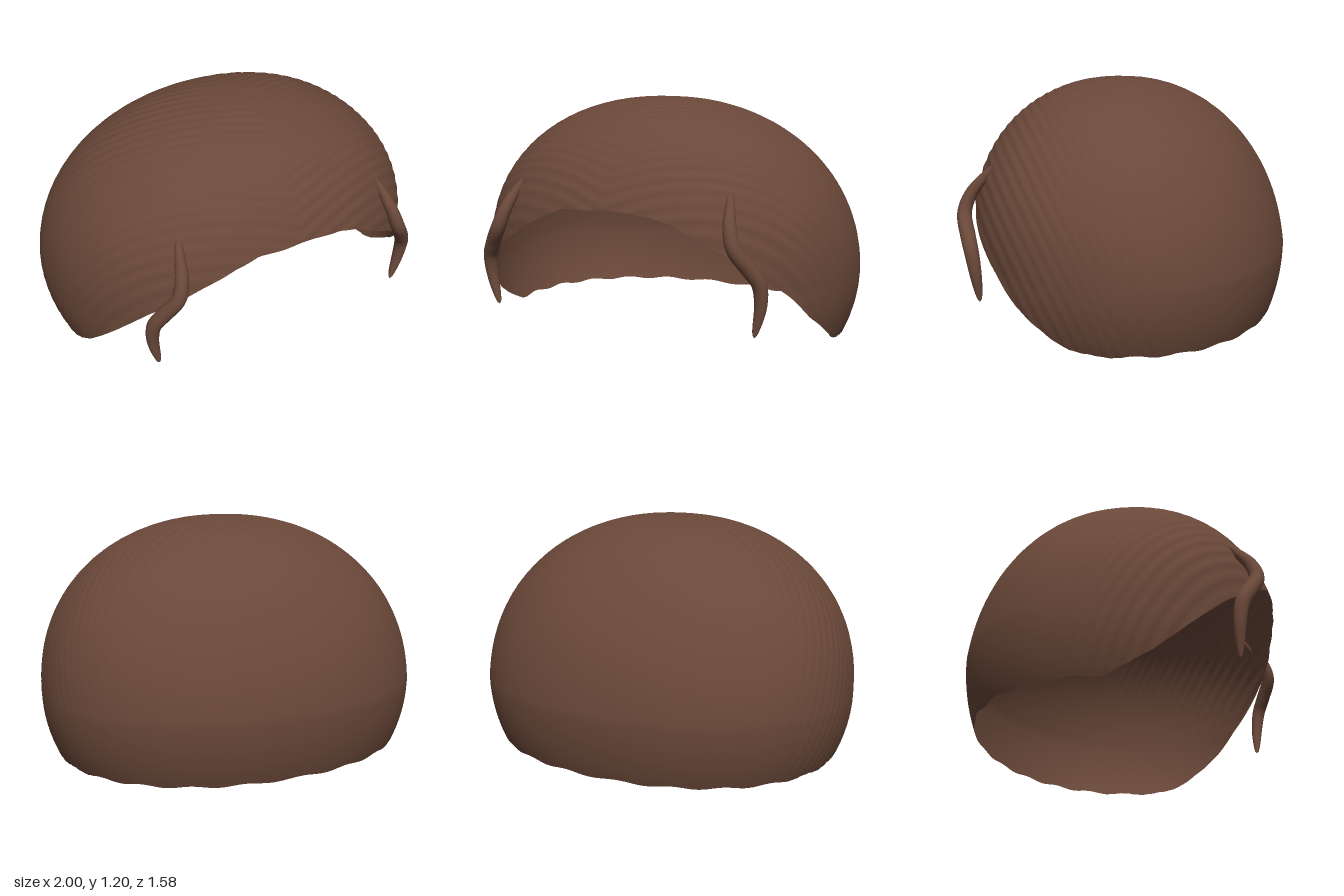
import * as THREE from 'three';

const hairBrown = new THREE.MeshStandardMaterial({ color: 0x6a4839, side: THREE.DoubleSide });
hairBrown.name = 'hair brown';

// Hairline height by azimuth: degrees above the side (0) towards the front (90)
const HAIRLINE = [[-90, 0.01], [2, 0.01], [6, 0.015], [12, 0.05], [20, 0.12], [28, 0.205], [36, 0.31], [45, 0.42], [53, 0.505], [60, 0.57], [70, 0.66], [77, 0.70], [90, 0.715]];

function rimHeight(a) {
  const deg = THREE.MathUtils.radToDeg(Math.asin(Math.sin(a)));
  let k = 1;
  while (k < HAIRLINE.length - 1 && HAIRLINE[k][0] < deg) k++;
  const [d0, y0] = HAIRLINE[k - 1], [d1, y1] = HAIRLINE[k];
  const wave = 0.006 * Math.sin(a * 22) * (deg < 10 ? 1 : 0.4);
  return THREE.MathUtils.lerp(y0, y1, (deg - d0) / (d1 - d0)) + wave;
}

const EQUATOR = 0.33, UPPER = 0.87, LOWER = 0.86;
const squarish = (v, p) => Math.sign(v) * Math.pow(Math.abs(v), 2 / p);

// Point on the skull-shaped shell: lat = latitude, a = azimuth
function shellPoint(lat, a) {
  const u = Math.sin(lat);
  const s = u > 0 ? Math.pow(Math.max(0, 1 - Math.pow(u, 2.13)), 1 / 2.13) : Math.cos(lat);
  const cx = squarish(Math.cos(a), 2.12), cz = squarish(Math.sin(a), 2.12);
  const p = new THREE.Vector3(
    s * cx,
    EQUATOR + u * (u > 0 ? UPPER : LOWER),
    0.1 * Math.max(u, 0) + (cz > 0 ? 0.83 : 0.78) * s * cz
  );
  // Fine combed strands, fading towards the back and the crown
  const fade = THREE.MathUtils.smoothstep(p.z, -0.7, 0.1) * THREE.MathUtils.smoothstep(s, 0.02, 0.3);
  const strand = Math.sin((p.z + 0.4 * Math.abs(p.x) - 0.5 * p.y) * 2 * Math.PI / 0.06);
  const out = new THREE.Vector3(s * Math.cos(a), u, s * Math.sin(a));
  return p.addScaledVector(out, 0.0018 * fade * strand);
}

// Open cap of hair: rows rise from the hairline to one point at the crown
function hairCap() {
  const cols = 320, rows = 110, pos = [], index = [];
  for (let j = 0; j < rows; j++) {
    for (let i = 0; i < cols; i++) {
      const a = (i / cols) * Math.PI * 2;
      const dy = rimHeight(a) - EQUATOR;
      const low = Math.asin(dy / (dy > 0 ? UPPER : LOWER));
      const lat = THREE.MathUtils.lerp(low, Math.PI / 2, j / rows);
      pos.push(...shellPoint(lat, a).toArray());
    }
  }
  const crown = pos.length / 3;
  pos.push(0, EQUATOR + UPPER, 0.1);
  for (let j = 0; j < rows; j++) {
    for (let i = 0; i < cols; i++) {
      const n = (i + 1) % cols, p = j * cols + i, q = j * cols + n;
      if (j === rows - 1) index.push(p, crown, q);
      else index.push(p, p + cols, q, q, p + cols, q + cols);
    }
  }
  const g = new THREE.BufferGeometry();
  g.setAttribute('position', new THREE.Float32BufferAttribute(pos, 3));
  g.setIndex(index);
  g.computeVertexNormals();
  return g;
}

// Loose lock: a tube whose rings are narrowed towards both ends
function lockGeometry(side) {
  const path = [
    [0.55, 0.81, 0.60], [0.572, 0.735, 0.665], [0.592, 0.66, 0.72], [0.62, 0.575, 0.742],
    [0.68, 0.48, 0.705], [0.718, 0.41, 0.675], [0.722, 0.31, 0.658], [0.69, 0.15, 0.65]
  ].map(([x, y, z]) => new THREE.Vector3(x * side, y, z));
  const curve = new THREE.CatmullRomCurve3(path);
  const rings = 60, sides = 16;
  const g = new THREE.TubeGeometry(curve, rings, 0.037, sides);
  const pos = g.attributes.position, v = new THREE.Vector3();
  for (let i = 0; i <= rings; i++) {
    const t = i / rings, c = curve.getPointAt(t);
    const k = Math.pow(Math.max(0.0001, Math.sin(Math.PI * t)), 0.45);
    for (let j = 0; j <= sides; j++) {
      const n = i * (sides + 1) + j;
      v.fromBufferAttribute(pos, n).sub(c).multiplyScalar(k).add(c);
      pos.setXYZ(n, v.x, v.y, v.z);
    }
  }
  return g;
}

export function createModel() {
  const model = new THREE.Group();
  model.name = 'hair';
  const add = (name, geometry) => {
    const mesh = new THREE.Mesh(geometry, hairBrown);
    mesh.name = name;
    model.add(mesh);
  };
  add('hairCap', hairCap());
  add('leftLock', lockGeometry(1));
  add('rightLock', lockGeometry(-1));
  return model;
}
